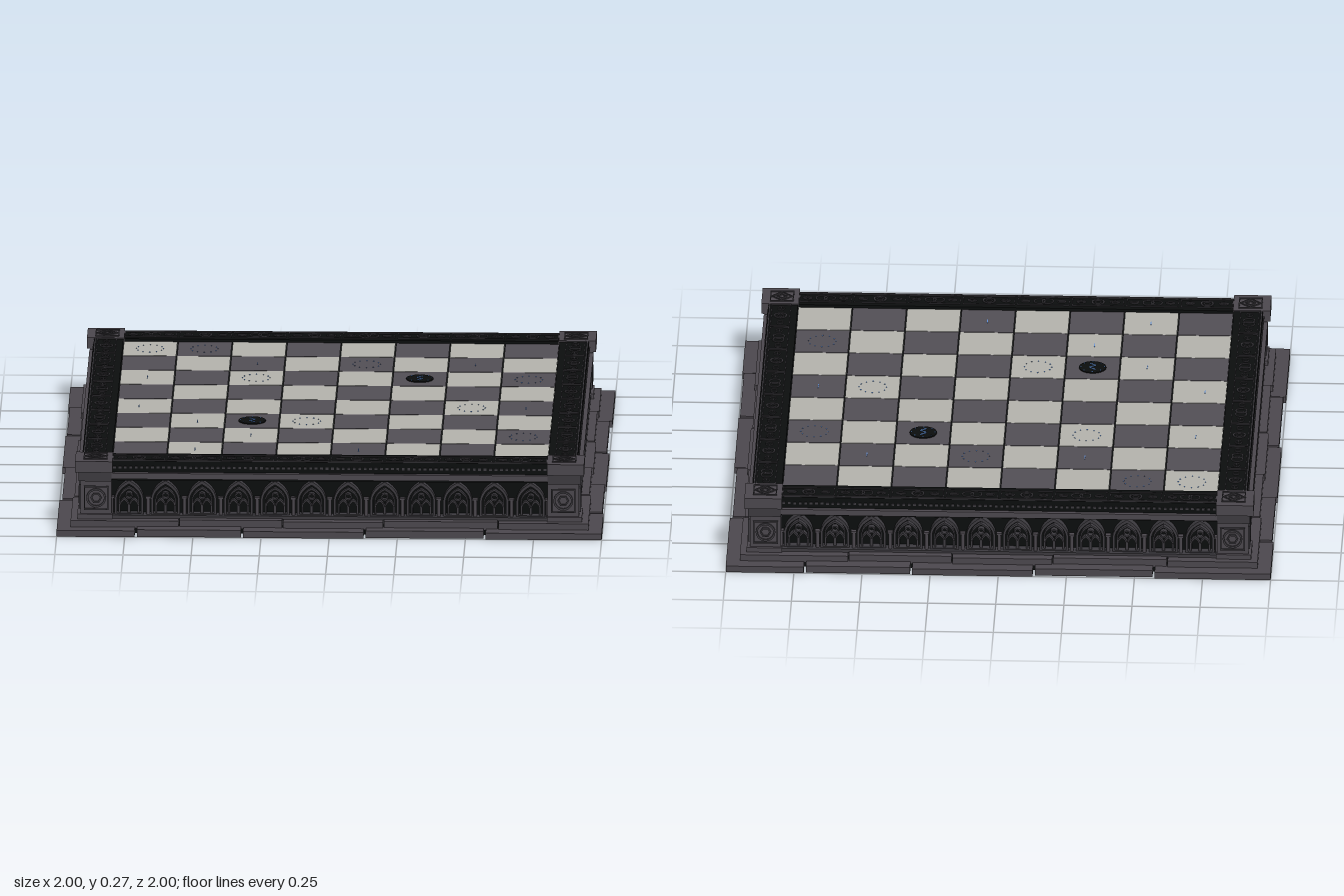
import * as THREE from 'three';
import { mergeGeometries } from 'three/addons/utils/BufferGeometryUtils.js';

const mat = (name, color) => Object.assign(new THREE.MeshStandardMaterial({ color }), { name });
const M = {
  light: mat('paleStone', 0xb2b1ab),
  dark: mat('darkTile', 0x524e55),
  stone: mat('greyStone', 0x4b474d),
  trim: mat('carvedTrim', 0x3c3a3f),
  black: mat('blackStone', 0x0b0d0d),
  blue: mat('blueRune', 0x5f8fd6),
};

function add(parent, name, geo, material, x = 0, y = 0, z = 0) {
  const m = new THREE.Mesh(geo, material);
  m.name = name;
  m.position.set(x, y, z);
  parent.add(m);
  return m;
}
const boxGeo = (w, h, d, x = 0, y = 0, z = 0) => new THREE.BoxGeometry(w, h, d).translate(x, y, z);
// Box given by its lower and upper corners
const span = (x0, x1, y0, y1, z0, z1) =>
  boxGeo(x1 - x0, y1 - y0, z1 - z0, (x0 + x1) / 2, (y0 + y1) / 2, (z0 + z1) / 2);
const extrude = (shape, depth) =>
  new THREE.ExtrudeGeometry(shape, { depth, bevelEnabled: false, curveSegments: 6 });

// Pointed arch outline standing on y = 0
function archPath(PathType, w, spring, h, y0 = 0) {
  const p = new PathType();
  p.moveTo(-w, y0);
  p.lineTo(w, y0);
  p.lineTo(w, spring);
  p.quadraticCurveTo(w * 0.9, spring + (h - spring) * 0.62, 0, h);
  p.quadraticCurveTo(-w * 0.9, spring + (h - spring) * 0.62, -w, spring);
  p.lineTo(-w, y0);
  return p;
}
function archGeo(w, spring, h, t, depth) {
  const s = archPath(THREE.Shape, w, spring, h);
  s.holes.push(archPath(THREE.Path, w - t, spring, h - t * 1.5, 0.004));
  return extrude(s, depth);
}
// Flat polygonal ring in XY: 4 sides for frames and diamonds, many for circles
function ringGeo(r, t, sides, depth, turn = 0) {
  const pts = (rad) => Array.from({ length: sides }, (_, i) => {
    const a = turn + (i / sides) * Math.PI * 2;
    return new THREE.Vector2(Math.cos(a) * rad, Math.sin(a) * rad);
  });
  const s = new THREE.Shape(pts(r));
  s.holes.push(new THREE.Path(pts(r - t)));
  return extrude(s, depth);
}
const lay = (g) => g.rotateX(-Math.PI / 2);

// Gothic window bay: outer arch, twin lancets, rosette and mullion
const bayGeo = mergeGeometries([
  archGeo(0.053, 0.06, 0.128, 0.009, 0.03),
  archGeo(0.038, 0.055, 0.1, 0.005, 0.018),
  archGeo(0.018, 0.03, 0.058, 0.005, 0.022).translate(-0.018, 0, 0),
  archGeo(0.018, 0.03, 0.058, 0.005, 0.022).translate(0.018, 0, 0),
  ringGeo(0.014, 0.005, 12, 0.022).translate(0, 0.068, 0),
]);

// Ornaments of the top border, one 0.2 long panel each
const eye = (x) => [
  ringGeo(0.018, 0.004, 12, 0.004).scale(1, 0.75, 1).translate(x, 0, 0),
  boxGeo(0.024, 0.004, 0.004, x, 0, 0.002),
];
const panelFrame = () => [
  boxGeo(0.19, 0.004, 0.004, 0, 0.034, 0.002), boxGeo(0.19, 0.004, 0.004, 0, -0.034, 0.002),
  boxGeo(0.004, 0.068, 0.004, 0.094, 0, 0.002), boxGeo(0.004, 0.068, 0.004, -0.094, 0, 0.002),
];
const flat = (list) => lay(mergeGeometries(list.map((g) => (g.index ? g.toNonIndexed() : g))));
const starPanel = flat([
  ...panelFrame(), ...eye(-0.062), ...eye(0.062),
  ringGeo(0.025, 0.006, 16, 0.004), ringGeo(0.014, 0.004, 6, 0.004),
]);
const doublePanel = flat([
  ...panelFrame(), ...eye(-0.066), ...eye(0.066),
  ringGeo(0.023, 0.005, 16, 0.004).translate(-0.015, 0, 0),
  ringGeo(0.023, 0.005, 16, 0.004).translate(0.015, 0, 0),
]);

// One side of the plinth, facing +z
function makeSide() {
  const side = new THREE.Group();
  side.name = 'plinthSide';

  // Uneven paving stones and the step above them
  const cuts = [-1, -0.71, -0.32, 0.13, 0.57, 0.94];
  const reach = [1, 0.995, 1, 0.99, 1];
  for (let i = 0; i < 5; i++)
    add(side, 'pavingStone', span(cuts[i] + (i ? 0.004 : 0), cuts[i + 1] - 0.004, 0, 0.024 + (i % 2) * 0.003, 0.93, reach[i]), M.stone);
  const steps = [-0.95, -0.55, -0.17, 0.2, 0.62, 0.93];
  for (let i = 0; i < 5; i++)
    add(side, 'stepStone', span(steps[i], steps[i + 1] - 0.004, 0.02, 0.048 + (i % 2) * 0.003, 0.85, 0.95 - (i % 2) * 0.006), M.stone);

  // Arcade
  add(side, 'sill', span(-0.8, 0.8, 0.048, 0.06, 0.85, 0.915), M.trim);
  for (let i = 0; i < 12; i++) {
    const x = (i - 5.5) * 0.134;
    add(side, 'archBay', bayGeo, M.trim, x, 0.06, 0.87);
    add(side, 'archFigure', new THREE.ConeGeometry(0.007, 0.045, 6), M.trim, x, 0.08, 0.878);
  }
  for (let i = 0; i <= 12; i++) {
    const x = (i - 6) * 0.134 * 0.995;
    add(side, 'archColumn', new THREE.CylinderGeometry(0.007, 0.007, 0.065, 8), M.stone, x, 0.0925, 0.898);
    add(side, 'columnCapital', boxGeo(0.02, 0.008, 0.02), M.stone, x, 0.125, 0.898);
  }

  // Cornice, frieze and beads
  add(side, 'cornice', span(-0.8, 0.8, 0.2, 0.222, 0.8, 0.925), M.stone);
  add(side, 'corniceUnderside', span(-0.8, 0.8, 0.19, 0.2, 0.8, 0.905), M.black);
  add(side, 'frieze', span(-0.81, 0.81, 0.222, 0.264, 0.8, 0.908), M.black);
  const beads = [];
  for (let i = 0; i < 80; i++) beads.push(boxGeo(0.01, 0.008, 0.006, (i - 39.5) * 0.02, 0.241, 0.909));
  add(side, 'friezeBeads', mergeGeometries(beads), M.trim);
  add(side, 'outerBorderLine', span(-0.8, 0.8, 0.262, 0.267, 0.9, 0.906), M.trim);

  // Carved top border
  for (let i = 0; i < 8; i++)
    add(side, 'borderPanel', i % 2 ? doublePanel : starPanel, M.trim, (i - 3.5) * 0.2, 0.263, 0.86);

  // Corner pier at the +x end
  add(side, 'cornerPier', span(0.8, 0.915, 0.04, 0.205, 0.8, 0.915), M.stone);
  add(side, 'pierFoot', span(0.797, 0.926, 0.048, 0.066, 0.797, 0.926), M.stone);
  add(side, 'pierNeck', span(0.8, 0.922, 0.19, 0.228, 0.8, 0.922), M.trim);
  add(side, 'pierCap', span(0.797, 0.934, 0.226, 0.268, 0.797, 0.934), M.stone);
  // Emblems on the pier's two outer faces and on its cap
  const q = Math.PI / 4;
  const emblem = () => mergeGeometries([
    ringGeo(0.064, 0.007, 4, 0.006, q), ringGeo(0.036, 0.007, 20, 0.007), ringGeo(0.021, 0.006, 6, 0.007),
  ]);
  add(side, 'pierEmblem', emblem(), M.trim, 0.857, 0.126, 0.915);
  add(side, 'pierEmblem', emblem().rotateY(Math.PI / 2), M.trim, 0.915, 0.126, 0.857);
  add(side, 'capEmblem', lay(mergeGeometries([
    ringGeo(0.062, 0.006, 4, 0.004, q), ringGeo(0.04, 0.006, 4, 0.004), ringGeo(0.02, 0.006, 4, 0.004),
  ])), M.trim, 0.86, 0.268, 0.86);
  return side;
}

export function createModel() {
  const model = new THREE.Group();
  model.name = 'gothicChessboard';

  add(model, 'foundation', span(-0.94, 0.94, 0, 0.022, -0.94, 0.94), M.black);
  add(model, 'core', span(-0.87, 0.87, 0.02, 0.205, -0.87, 0.87), M.black);
  add(model, 'boardBed', span(-0.805, 0.805, 0.2, 0.247, -0.805, 0.805), M.black);

  for (let i = 0; i < 4; i++) {
    const side = makeSide();
    side.rotation.y = (i * Math.PI) / 2;
    model.add(side);
  }

  // Tiles
  const top = 0.254;
  const tile = boxGeo(0.196, 0.02, 0.196);
  for (let r = 0; r < 8; r++)
    for (let c = 0; c < 8; c++) {
      const pale = (r + c) % 2 === 0;
      add(model, pale ? 'paleTile' : 'darkTile', tile, pale ? M.light : M.dark, (c - 3.5) * 0.2, top - 0.01, (r - 3.5) * 0.2);
    }

  // Black medallions with a zigzag rune
  for (const s of [1, -1]) {
    const x = 0.3 * s, z = -0.3 * s;
    add(model, 'medallion', new THREE.CylinderGeometry(0.05, 0.05, 0.004, 28), M.black, x, top + 0.002, z);
    for (const [dx, dz, turn] of [[0, -0.017, 0.7], [0, 0.003, -0.7], [0, 0.02, 0.7]])
      add(model, 'medallionRune', boxGeo(0.028, 0.002, 0.004), M.blue, x + dx, top + 0.005, z + dz).rotation.y = turn * s;
    for (let i = 0; i < 8; i++)
      add(model, 'medallionDot', boxGeo(0.004, 0.002, 0.004), M.blue,
        x + Math.cos(i * q8) * 0.043, top + 0.005, z + Math.sin(i * q8) * 0.043);
  }

  // Faint dotted rune circles
  const rings = [[-0.7, -0.7], [-0.5, -0.7], [0.1, -0.5], [-0.3, -0.3], [0.7, -0.3], [0.5, 0.1], [-0.1, 0.3], [0.7, 0.5]];
  for (const [x, z] of rings) {
    const dots = [];
    for (let i = 0; i < 12; i++)
      dots.push(boxGeo(0.004, 0.002, 0.004, Math.cos(i * 0.5236) * 0.05, 0, Math.sin(i * 0.5236) * 0.05));
    add(model, 'runeCircle', mergeGeometries(dots), M.blue, x, top + 0.001, z);
  }
  // Short rune strokes
  const marks = [[-0.72, 0.1], [-0.5, 0.31], [-0.3, 0.5], [0.1, 0.7], [-0.5, 0.7], [-0.3, -0.5], [0.5, -0.5], [0.7, 0.1], [-0.7, -0.3]];
  for (const [x, z] of marks)
    add(model, 'runeStroke', boxGeo(0.003, 0.002, 0.03), M.blue, x, top + 0.001, z);

  return model;
}
const q8 = Math.PI / 4;
